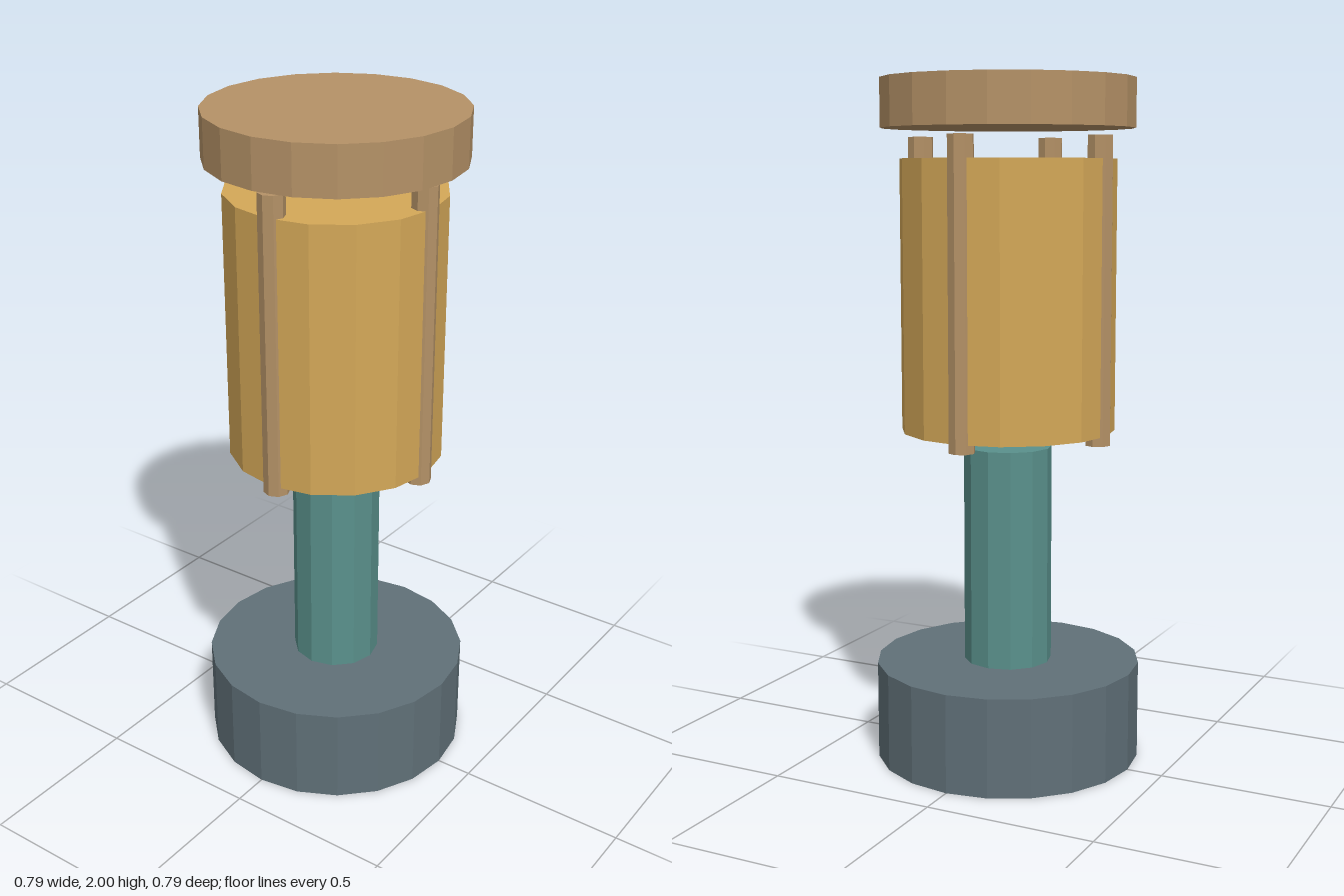
import * as THREE from 'three';

function flat(name, color) {
  const m = new THREE.MeshStandardMaterial({ color, flatShading: true });
  m.name = name;
  return m;
}

export function createModel() {
  const group = new THREE.Group();
  const slate = flat('slate grey', 0x607078);
  const teal = flat('teal', 0x5a918c);
  const ochre = flat('ochre', 0xd4a858);
  const wood = flat('tan wood', 0xb59267);

  // Upright cylinder between two heights
  function drum(name, radius, y0, y1, sides, material, x = 0, z = 0) {
    const geometry = new THREE.CylinderGeometry(radius, radius, y1 - y0, sides);
    const mesh = new THREE.Mesh(geometry, material);
    mesh.name = name;
    mesh.position.set(x, (y0 + y1) / 2, z);
    group.add(mesh);
  }

  drum('base', 0.393, 0, 0.29, 20, slate);
  drum('post', 0.13, 0.29, 0.938, 12, teal);
  drum('body', 0.314, 0.988, 1.774, 16, ochre);
  drum('cap', 0.367, 1.86, 2, 20, wood);

  // Four rods let into the sides of the body
  for (let i = 0; i < 4; i++) {
    const a = (i * Math.PI) / 2;
    drum('rod' + (i + 1), 0.038, 0.962, 1.838, 8, wood, 0.288 * Math.sin(a), 0.288 * Math.cos(a));
  }
  return group;
}
